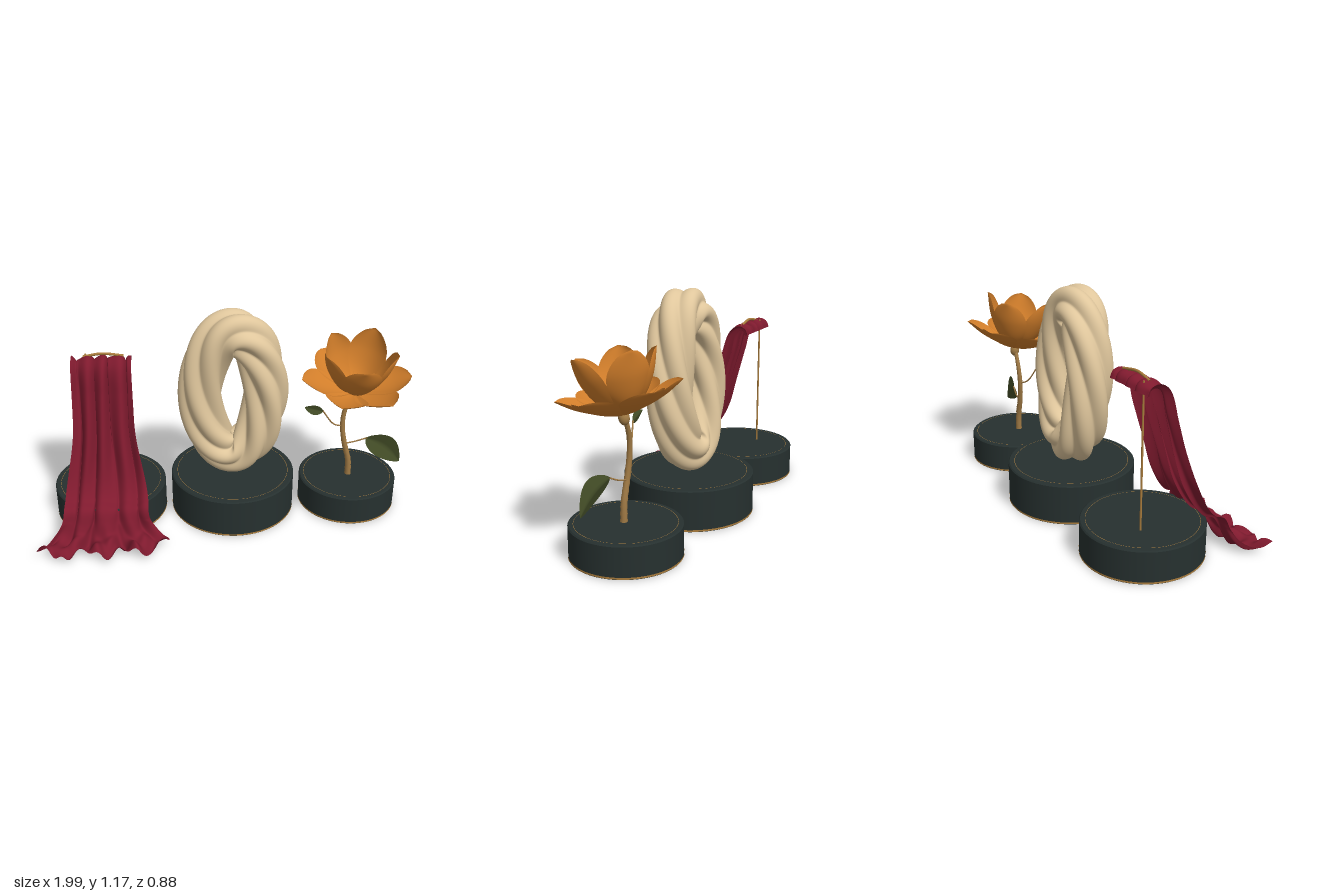
import * as THREE from 'three';
import { mergeVertices } from 'three/addons/utils/BufferGeometryUtils.js';

const V = (x, y, z) => new THREE.Vector3(x, y, z);
const mat = (color) => new THREE.MeshStandardMaterial({ color, side: THREE.DoubleSide });
const stone = mat(0x26302f), brass = mat(0xa87b3c), cream = mat(0xdfc69c);
const crimson = mat(0x7f1a2e), orange = mat(0xd07d2a), bark = mat(0xa07a45), green = mat(0x454f28);
const Z = -0.11;

function add(parent, name, geometry, material) {
  const mesh = new THREE.Mesh(geometry, material);
  mesh.name = name;
  parent.add(mesh);
  return mesh;
}

// Smooth surface from a rule fn(u, v) -> Vector3, welded where its edges meet
function surface(nu, nv, fn) {
  const g = new THREE.PlaneGeometry(1, 1, nu, nv);
  const p = g.attributes.position;
  for (let i = 0; i < p.count; i++) {
    const q = fn(p.getX(i) + 0.5, p.getY(i) + 0.5);
    p.setXYZ(i, q.x, q.y, q.z);
  }
  g.deleteAttribute('uv');
  g.deleteAttribute('normal');
  const welded = mergeVertices(g, 1e-5);
  welded.computeVertexNormals();
  return welded;
}

// Tube whose radius follows a rule along its length
function taperedTube(points, radius, seg = 48) {
  const curve = new THREE.CatmullRomCurve3(points);
  const g = new THREE.TubeGeometry(curve, seg, 1, 10);
  const p = g.attributes.position, v = V(0, 0, 0);
  for (let i = 0; i < p.count; i++) {
    const u = Math.floor(i / 11) / seg, c = curve.getPointAt(u);
    v.fromBufferAttribute(p, i).sub(c).multiplyScalar(radius(u)).add(c);
    p.setXYZ(i, v.x, v.y, v.z);
  }
  return g;
}

function pedestal(name, x, r, h) {
  const g = new THREE.Group();
  g.name = name;
  g.position.set(x, 0, Z);
  const b = 0.006;
  const drum = add(g, 'drum', new THREE.CylinderGeometry(r, r, h - b, 64), stone);
  drum.position.y = (h - b) / 2;
  add(g, 'bevel', new THREE.CylinderGeometry(r - b, r, b, 64), stone).position.y = h - b / 2;
  const band = add(g, 'baseBand', new THREE.CylinderGeometry(r + 0.002, r + 0.002, 0.009, 64, 1, true), brass);
  band.position.y = 0.007;
  const inlay = add(g, 'inlayRing', new THREE.RingGeometry(r * 0.9, r * 0.9 + 0.002, 64), brass);
  inlay.rotation.x = -Math.PI / 2;
  inlay.position.y = h + 0.0005;
  return g;
}

// Oval ring of five strands; six fifths of a turn brings each onto its neighbour
function twistedRing() {
  const rx = 0.17, ry = 0.36, R = 0.126;
  return surface(180, 100, (u, v) => {
    const a = u * Math.PI * 2, t = v * Math.PI * 2;
    const lobe = Math.sqrt(Math.cos(2.5 * t) ** 2 + 0.015);
    const r = R * (0.74 + 0.24 * lobe);
    const s = t + a * 1.2;
    const n = V(Math.cos(a) * ry, Math.sin(a) * rx, 0).normalize();
    return V(rx * Math.cos(a), ry * Math.sin(a), 0)
      .addScaledVector(n, r * Math.cos(s))
      .add(V(0, 0, r * Math.sin(s)));
  });
}

// Cloth: side profile from the back flap over the bar down to the floor
function cloth() {
  const profile = new THREE.CatmullRomCurve3([
    V(0, 0.85, -0.2), V(0, 0.88, -0.187), V(0, 0.89, -0.15), V(0, 0.86, -0.108), V(0, 0.72, -0.065),
    V(0, 0.53, -0.008), V(0, 0.37, 0.043), V(0, 0.26, 0.095), V(0, 0.2, 0.145), V(0, 0.175, 0.2),
    V(0, 0.11, 0.232), V(0, 0.055, 0.265), V(0, 0.04, 0.32), V(0, 0.045, 0.395)]);
  const { smoothstep, lerp } = THREE.MathUtils;
  return surface(140, 140, (u, v) => {
    const t = 1 - v, s = u * 2 - 1;
    const c = profile.getPointAt(t), d = profile.getTangentAt(t);
    const floor = smoothstep(t, 0.72, 1), mid = smoothstep(t, 0.35, 0.75);
    const half = lerp(0.163, 0.215, mid) + 0.125 * floor * floor;
    // folds run down the drape and break into wrinkles on the floor
    const phase = 4 * Math.PI * s + 0.6 * Math.sin(5 * s + 3 * t);
    const fold = Math.cos(phase) + 0.35 * Math.sin(phase * 1.9 + 4 * t);
    const amp = lerp(0.024, 0.014, smoothstep(t, 0.5, 0.7)) * lerp(0.6, 1, smoothstep(t, 0.05, 0.2));
    const ripple = Math.sin(10 * s + 42 * t) * 0.018 + Math.sin(21 * s - 35 * t) * 0.012;
    const x = -0.637 + s * half + 0.014 * Math.sin(phase) * (1 - floor) - 0.012 * floor;
    const y = c.y + d.z * fold * amp + floor * ripple;
    const z = c.z - d.y * fold * amp * (1 - floor)
      + floor * (0.026 * Math.cos(11 * s) - 0.03 * s ** 3 - 0.035 * s * s + 0.008 * Math.sin(23 * s));
    return V(x, Math.max(0.004, y), z);
  });
}

// Broad petal along a radial profile (radius, height), cupped across its width
function petal(angle, points, width, cup) {
  const curve = new THREE.CatmullRomCurve3(points.map(([r, y]) => V(r, y, 0)));
  return surface(16, 24, (u, t) => {
    const s = u * 2 - 1, c = curve.getPointAt(t), d = curve.getTangentAt(t);
    const w = width * Math.max(0, Math.sin(Math.PI * Math.min(t, 1) ** 1.55)) ** 0.58;
    const lift = cup * s * s * (w / width);
    const r = c.x - d.y * lift, k = w * s;
    return V(r * Math.cos(angle) - k * Math.sin(angle), c.y + d.x * lift,
      r * Math.sin(angle) + k * Math.cos(angle));
  });
}

// Leaf folded slightly along its midrib
function leaf(base, tip, width, bend) {
  const dir = tip.clone().sub(base).normalize();
  const side = V(-dir.y, dir.x, 0).normalize();
  const out = dir.clone().cross(side);
  return surface(10, 18, (u, t) => {
    const s = u * 2 - 1;
    const w = width * Math.max(0, Math.sin(Math.PI * t ** 0.85)) ** 0.8;
    return base.clone().lerp(tip, t)
      .addScaledVector(side, w * s + bend * Math.sin(Math.PI * t))
      .addScaledVector(out, Math.abs(s) * w * 0.3);
  });
}

function flower() {
  const g = new THREE.Group();
  g.name = 'flower';
  add(g, 'stem', taperedTube([V(0.705, 0.155, -0.102), V(0.7, 0.25, -0.102), V(0.67, 0.37, -0.104),
    V(0.655, 0.47, -0.108), V(0.662, 0.56, -0.112), V(0.695, 0.66, -0.112)],
  (u) => 0.0175 - 0.0065 * u + 0.0014 * Math.sin(u * 90) * (1 - u)), bark);
  add(g, 'leafStalk', taperedTube([V(0.67, 0.355, -0.105), V(0.73, 0.37, -0.1), V(0.795, 0.4, -0.085)],
    () => 0.004, 16), bark);
  add(g, 'leafStalk', taperedTube([V(0.657, 0.465, -0.11), V(0.6, 0.495, -0.085), V(0.53, 0.595, -0.055)],
    () => 0.004, 16), bark);
  add(g, 'largeLeaf', leaf(V(0.785, 0.4, -0.085), V(0.975, 0.265, -0.045), 0.07, 0.025), green);
  add(g, 'smallLeaf', leaf(V(0.532, 0.59, -0.055), V(0.43, 0.622, -0.05), 0.028, 0), green);

  // Blossom leans toward the front
  const head = new THREE.Group();
  head.name = 'blossom';
  head.position.set(0.705, 0.66, -0.112);
  head.rotation.x = 0.2;
  g.add(head);
  const cupBase = add(head, 'receptacle', new THREE.SphereGeometry(0.026, 20, 14), bark);
  cupBase.scale.y = 1.3;
  const outer = [[0, 0.01], [0.1, 0.032], [0.2, 0.07], [0.295, 0.125]];
  const inner = [[0, 0.01], [0.095, 0.07], [0.165, 0.18], [0.205, 0.31]];
  for (const deg of [3, 62, 115, 176, 238, 297]) {
    add(head, 'outerPetal', petal(deg * Math.PI / 180, outer, 0.112, 0.035), orange);
  }
  for (const [i, deg] of [25, 92, 157, 232, 303].entries()) {
    const k = 1 - 0.06 * (i % 2);
    add(head, 'innerPetal', petal(deg * Math.PI / 180, inner.map(([r, y]) => [r, y * k]), 0.105, 0.04), orange);
  }
  add(head, 'flowerCentre', new THREE.SphereGeometry(0.025, 16, 12), brass).position.y = 0.055;
  for (let i = 0; i < 8; i++) {
    const a = i * Math.PI / 4;
    const s = add(head, 'stamen', new THREE.SphereGeometry(0.007, 8, 6), brass);
    s.position.set(0.03 * Math.cos(a), 0.07, 0.03 * Math.sin(a));
  }
  return g;
}

export function createModel() {
  const model = new THREE.Group();
  model.name = 'sculptureTrio';
  model.add(pedestal('clothPedestal', -0.63, 0.305, 0.17));
  model.add(pedestal('ringPedestal', 0.05, 0.34, 0.215));
  model.add(pedestal('flowerPedestal', 0.7, 0.27, 0.16));

  const ring = add(model, 'twistedRing', twistedRing(), cream);
  ring.position.set(0.05, 0.695, -0.095);
  ring.rotation.set(0.05, -0.04, 0);

  // Pole and bowed bar carrying the cloth
  add(model, 'pole', new THREE.CylinderGeometry(0.005, 0.005, 0.74, 12), brass).position.set(-0.72, 0.535, -0.185);
  add(model, 'bar', taperedTube([V(-0.73, 0.902, -0.16), V(-0.63, 0.918, -0.156), V(-0.52, 0.902, -0.16)],
    () => 0.007, 20), brass);
  add(model, 'drapedCloth', cloth(), crimson);

  model.add(flower());
  return model;
}
